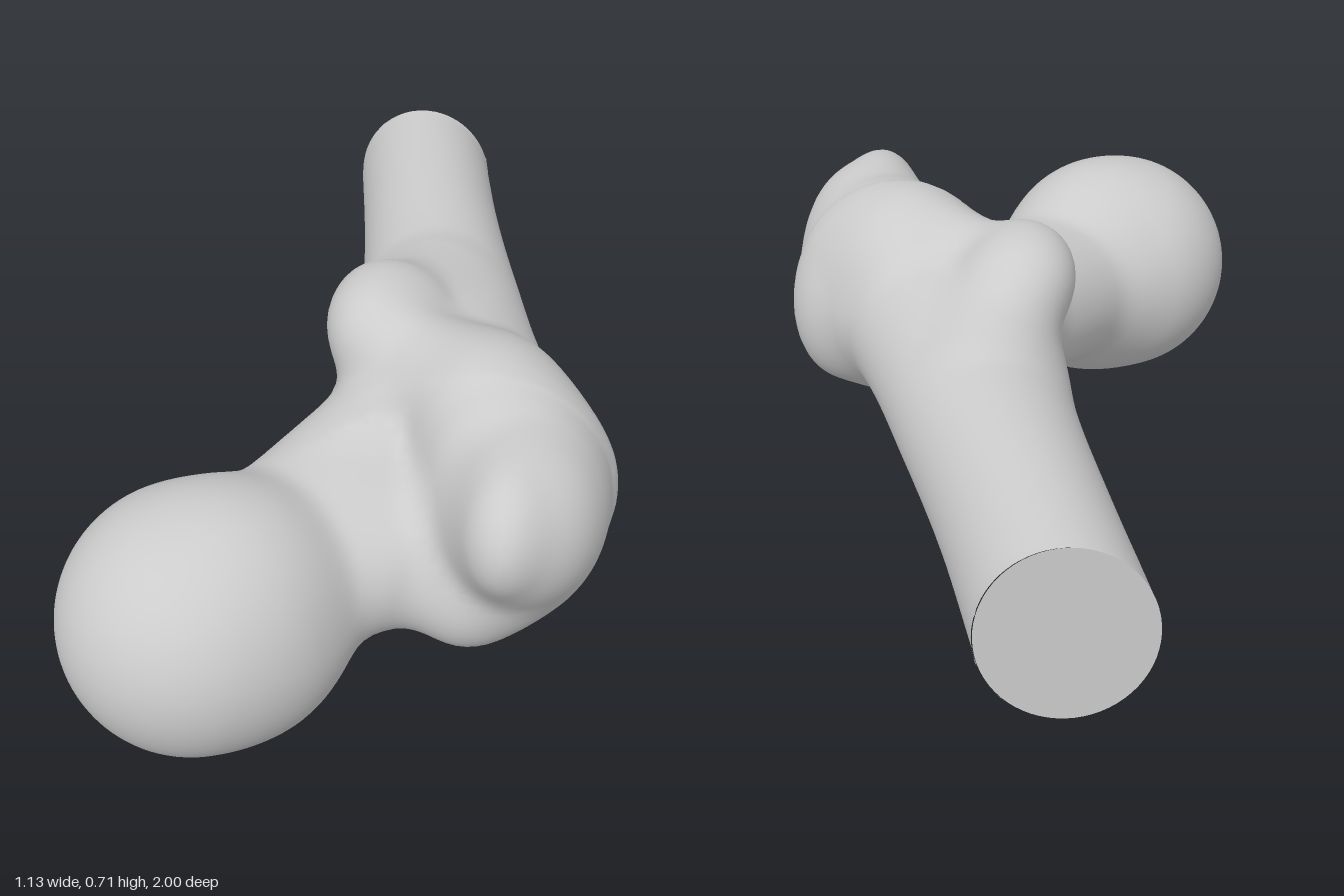
import * as THREE from 'three';

// Rounded ellipsoid field
const ellipsoid = (cx, cy, cz, rx, ry, rz) => (x, y, z) => {
  const a = (x - cx) / rx, b = (y - cy) / ry, c = (z - cz) / rz;
  const k0 = Math.hypot(a, b, c), k1 = Math.hypot(a / rx, b / ry, c / rz);
  return k1 < 1e-6 ? -Math.min(rx, ry, rz) : k0 * (k0 - 1) / k1;
};

// Round bar field between two points
const bar = ([ax, ay, az], [bx, by, bz], r) => (x, y, z) => {
  const dx = bx - ax, dy = by - ay, dz = bz - az;
  const t = THREE.MathUtils.clamp(
    ((x - ax) * dx + (y - ay) * dy + (z - az) * dz) / (dx * dx + dy * dy + dz * dz), 0, 1);
  return Math.hypot(x - ax - t * dx, y - ay - t * dy, z - az - t * dz) - r;
};

// Shaft cross-sections at even steps of z: centre x, centre y, radius x, radius y
const SHAFT_START = -1, SHAFT_END = 0.3;
const SECTIONS = [
  [-0.015, 0.37, 0.175, 0.198],
  [0.043, 0.388, 0.178, 0.19],
  [0.105, 0.402, 0.195, 0.187],
  [0.16, 0.418, 0.23, 0.197],
  [0.27, 0.43, 0.25, 0.22],
];
function shaftField(x, y, z) {
  const last = SECTIONS.length - 1;
  const u = THREE.MathUtils.clamp((z - SHAFT_START) / (SHAFT_END - SHAFT_START), 0, 1) * last;
  const i = Math.min(Math.floor(u), last - 1), t = u - i;
  const [cx, cy, rx, ry] = SECTIONS[i].map((p, n) => {
    const q = SECTIONS[i + 1][n];
    const m0 = i > 0 ? (q - SECTIONS[i - 1][n]) / 2 : q - p;
    const m1 = i < last - 1 ? (SECTIONS[i + 2][n] - p) / 2 : q - p;
    return p + t * (m0 + t * (3 * (q - p) - 2 * m0 - m1 + t * (m0 + m1 - 2 * (q - p))));
  });
  const d = (Math.hypot((x - cx) / rx, (y - cy) / ry) - 1) * Math.min(rx, ry);
  return Math.max(d, z - SHAFT_END);
}

// Each anatomical part is a few fields; blend is the fillet width
const PARTS = [
  { name: 'shaft', blend: 0.06, fields: [shaftField] },
  { name: 'neck', blend: 0.1, fields: [
    bar([-0.2, 0.3, 0.62], [0.2, 0.31, 0.4], 0.172),
    bar([-0.15, 0.31, 0.52], [0.12, 0.41, 0.15], 0.172),
  ] },
  { name: 'greaterTrochanter', blend: 0.07, fields: [
    ellipsoid(0.345, 0.41, 0.38, 0.208, 0.265, 0.27),
    ellipsoid(0.265, 0.26, 0.45, 0.145, 0.15, 0.19),
    ellipsoid(0.28, 0.545, 0.27, 0.15, 0.15, 0.2),
    ellipsoid(0.46, 0.36, 0.28, 0.085, 0.13, 0.1),
    // Forward beak and the swell that carries it into the outer side
    ellipsoid(0.345, 0.52, 0.585, 0.1, 0.145, 0.16),
    ellipsoid(0.4, 0.48, 0.52, 0.125, 0.16, 0.16),
  ] },
  { name: 'trochantericCrest', blend: 0.09, fields: [
    bar([0.04, 0.58, 0.08], [0.24, 0.57, 0.26], 0.09),
  ] },
  { name: 'lesserTrochanter', blend: 0.08, fields: [
    ellipsoid(-0.003, 0.6, 0.03, 0.103, 0.105, 0.14),
    bar([0.05, 0.575, -0.03], [0.1, 0.49, -0.24], 0.095),
  ] },
  { name: 'head', blend: 0.07, fields: [
    ellipsoid(-0.28, 0.288, 0.71, 0.284, 0.284, 0.286),
    ellipsoid(-0.17, 0.255, 0.67, 0.21, 0.235, 0.22),
    ellipsoid(-0.2, 0.37, 0.67, 0.19, 0.19, 0.19),
  ] },
];

// Smooth union of all fields
function bone(x, y, z) {
  let d = 9;
  for (const part of PARTS) for (const f of part.fields) {
    const e = f(x, y, z), h = Math.max(part.blend - Math.abs(d - e), 0);
    d = Math.min(d, e) - h * h / (4 * part.blend);
  }
  return d;
}
function gradient(p, e = 0.006) {
  return new THREE.Vector3(
    bone(p.x + e, p.y, p.z) - bone(p.x - e, p.y, p.z),
    bone(p.x, p.y + e, p.z) - bone(p.x, p.y - e, p.z),
    bone(p.x, p.y, p.z + e) - bone(p.x, p.y, p.z - e)).divideScalar(2 * e);
}
function nearestPart(p) {
  let best = 0, min = Infinity;
  PARTS.forEach((part, n) => part.fields.forEach((f) => {
    const d = f(p.x, p.y, p.z);
    if (d < min) { min = d; best = n; }
  }));
  return best;
}

// Skin the blended field with quads, sorted into the parts they belong to
function skin() {
  const s = 0.022, nx = 60, ny = 42, nz = 96, origin = new THREE.Vector3(-0.66, -0.1, SHAFT_START);
  const step = [1, nx, nx * ny], value = new Float32Array(nx * ny * nz);
  const at = (i, j, k) => new THREE.Vector3(i, j, k).multiplyScalar(s).add(origin);
  const eachCell = (fn) => {
    for (let k = 0; k < nz - 1; k++) for (let j = 0; j < ny - 1; j++)
      for (let i = 0; i < nx - 1; i++) fn(i, j, k, i + nx * (j + ny * k));
  };
  for (let k = 0, n = 0; k < nz; k++) for (let j = 0; j < ny; j++) for (let i = 0; i < nx; i++) {
    const p = at(i, j, k);
    value[n++] = bone(p.x, p.y, p.z);
  }

  // One surface point in every cell the surface crosses
  const points = [], normals = [], idOf = new Map();
  const corner = (c) => [c & 1, (c >> 1) & 1, c >> 2];
  eachCell((i, j, k, n) => {
    const v = [0, 1, 2, 3, 4, 5, 6, 7].map((c) => {
      const [a, b, d] = corner(c);
      return value[n + a + b * step[1] + d * step[2]];
    });
    const sum = new THREE.Vector3();
    let count = 0;
    for (let c = 0; c < 8; c++) for (const bit of [1, 2, 4]) {
      if (c & bit || (v[c] < 0) === (v[c | bit] < 0)) continue;
      const t = v[c] / (v[c] - v[c | bit]);
      sum.add(new THREE.Vector3(...corner(c)).lerp(new THREE.Vector3(...corner(c | bit)), t));
      count++;
    }
    if (!count) return;
    sum.divideScalar(count);
    const p = at(i + sum.x, j + sum.y, k + sum.z);
    const g = gradient(p);
    p.addScaledVector(g, -bone(p.x, p.y, p.z) / Math.max(g.lengthSq(), 0.3));
    if (k === 0) p.z = SHAFT_START;
    idOf.set(n, points.length);
    points.push(p);
    normals.push(gradient(p).normalize());
  });

  // A quad around every grid edge that leaves or enters the bone
  const buffers = PARTS.map(() => ({ position: [], normal: [] }));
  eachCell((i, j, k, n) => {
    for (let a = 0; a < 3; a++) {
      const inside = value[n] < 0;
      if (inside === (value[n + step[a]] < 0)) continue;
      const b = step[(a + 1) % 3], c = step[(a + 2) % 3];
      const q = [n - b - c, n - c, n, n - b].map((id) => idOf.get(id));
      if (q.includes(undefined)) continue;
      if (!inside) q.reverse();
      const mid = points[q[0]].clone().add(points[q[2]]).multiplyScalar(0.5);
      const out = buffers[nearestPart(mid)];
      for (const m of [0, 1, 2, 0, 2, 3]) {
        out.position.push(...points[q[m]].toArray());
        out.normal.push(...normals[q[m]].toArray());
      }
    }
  });
  return buffers;
}

export function createModel() {
  const group = new THREE.Group();
  group.name = 'upperThighBone';
  const material = new THREE.MeshStandardMaterial({ color: 0xcccccc });

  skin().forEach((data, n) => {
    const geometry = new THREE.BufferGeometry();
    for (const key of ['position', 'normal'])
      geometry.setAttribute(key, new THREE.Float32BufferAttribute(data[key], 3));
    const mesh = new THREE.Mesh(geometry, material);
    mesh.name = PARTS[n].name;
    group.add(mesh);
  });

  // Flat sawn end of the shaft
  const [cx, cy, rx, ry] = SECTIONS[0];
  const cap = new THREE.Mesh(new THREE.CircleGeometry(1, 64), material);
  cap.name = 'shaftCutEnd';
  cap.scale.set(rx, ry, 1);
  cap.rotation.y = Math.PI;
  cap.position.set(cx, cy, SHAFT_START);
  group.add(cap);

  // Rest the head on the ground
  group.position.y = -new THREE.Box3().setFromObject(group).min.y;
  return group;
}
